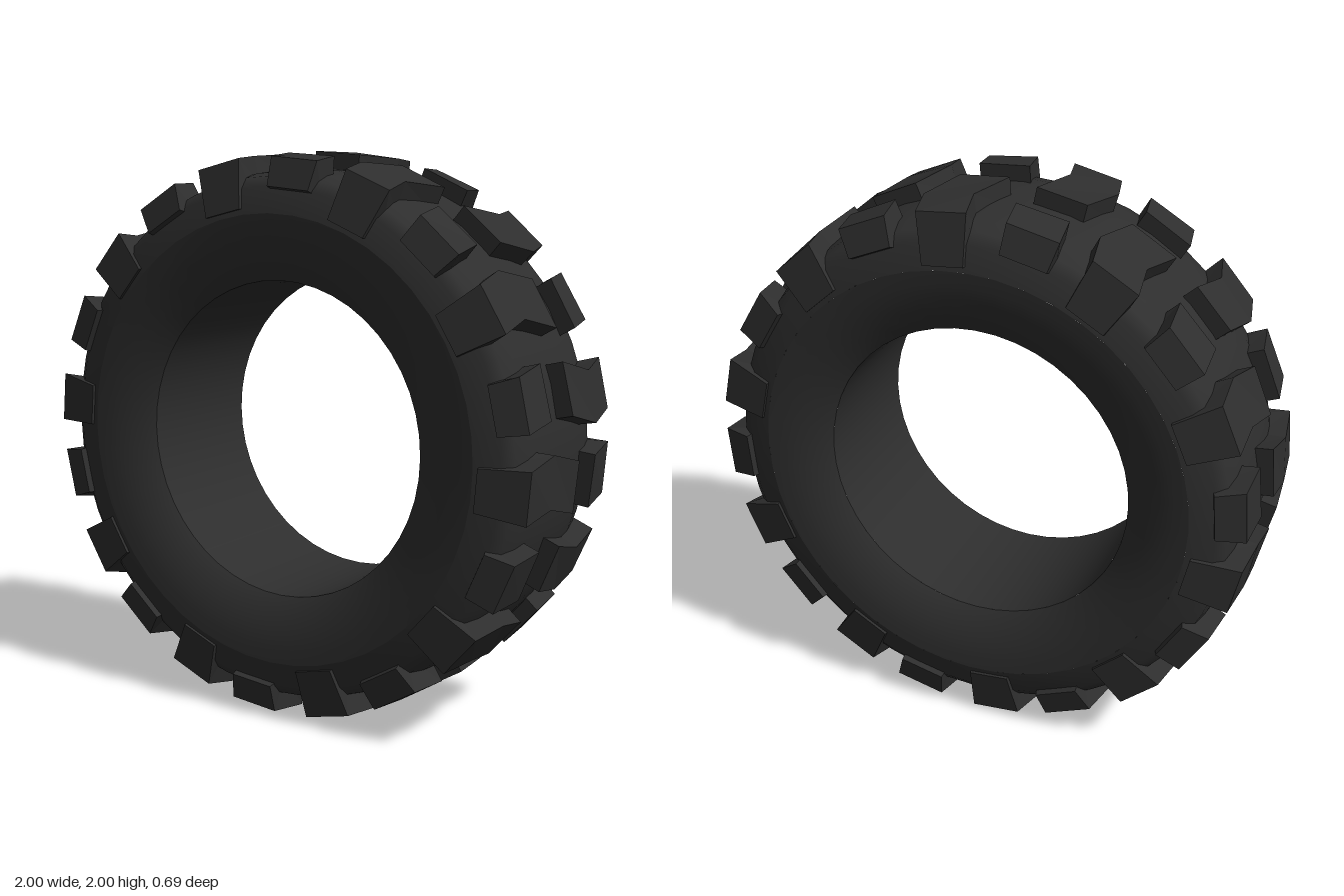
import * as THREE from 'three';

const DEG = Math.PI / 180;
const COUNT = 10; // long and short lugs per side

// Surface of revolution about the z axis; points are [radius, z]
function revolve(points, material, name) {
  const geo = new THREE.LatheGeometry(points.map(([r, z]) => new THREE.Vector2(r, z)), 48);
  geo.rotateX(Math.PI / 2);
  const mesh = new THREE.Mesh(geo, material);
  mesh.name = name;
  return mesh;
}

// Lug swept across the tread through stations:
// [top radius, top z, base radius, base z, centre angle, half angle]
function lugGeometry(stations) {
  const pos = [];
  const index = [];
  const add = (r, a, z) => pos.push(r * Math.cos(a * DEG), r * Math.sin(a * DEG), z);
  for (const [rt, zt, rb, zb, c, h] of stations) {
    add(rt, c - h, zt);
    add(rt, c + h, zt);
    add(rb, c + h + 0.5, zb);
    add(rb, c - h - 0.5, zb);
  }
  const quad = (a, b, c, d) => index.push(a, b, c, a, c, d);
  const last = (stations.length - 1) * 4;
  for (let s = 0; s < last; s += 4) {
    for (let i = 0; i < 4; i++) {
      const j = (i + 1) % 4;
      quad(s + i, s + j, s + 4 + j, s + 4 + i);
    }
  }
  quad(3, 2, 1, 0);
  quad(last, last + 1, last + 2, last + 3);
  const indexed = new THREE.BufferGeometry();
  indexed.setAttribute('position', new THREE.Float32BufferAttribute(pos, 3));
  indexed.setIndex(index);
  const geo = indexed.toNonIndexed();
  geo.computeVertexNormals();
  return geo;
}

export function createModel() {
  const rubber = new THREE.MeshStandardMaterial({ color: 0x2e2e2e });
  rubber.name = 'black rubber';

  const tyre = new THREE.Group();
  tyre.name = 'tyre';
  tyre.position.y = 1;

  // Carcass under the lugs, and the straight bore
  const half = [[0.94, 0.1], [0.93, 0.22], [0.915, 0.285], [0.88, 0.315], [0.79, 0.335]];
  const mirrored = half.map(([r, z]) => [r, -z]).reverse();
  tyre.add(revolve([...mirrored, ...half], rubber, 'carcass'));
  tyre.add(revolve([[0.56, 0.265], [0.56, -0.265]], rubber, 'bore'));

  // Long chevron lug wraps over the shoulder; short lug sits on the shoulder
  const longLug = lugGeometry([
    [1.0, -0.02, 0.9, -0.02, -5.7, 5.2],
    [0.997, 0.17, 0.9, 0.17, -2.9, 5.2],
    [0.983, 0.31, 0.87, 0.27, -4.8, 5.2],
    [0.81, 0.343, 0.81, 0.3, -4.8, 5.2],
  ]);
  const shortLug = lugGeometry([
    [0.993, 0.17, 0.9, 0.17, 14, 5.4],
    [0.98, 0.31, 0.86, 0.26, 12.6, 5.4],
    [0.88, 0.338, 0.86, 0.28, 12.6, 5.4],
  ]);

  // One side: rounded sidewall and its ring of lugs
  function makeSide(name) {
    const side = new THREE.Group();
    side.name = name;
    side.add(revolve(
      [[0.79, 0.335], [0.74, 0.332], [0.69, 0.324], [0.64, 0.309], [0.59, 0.287], [0.56, 0.265]],
      rubber, 'sidewall'));
    for (let i = 0; i < COUNT; i++) {
      for (const [geo, label] of [[longLug, 'longLug'], [shortLug, 'shortLug']]) {
        const lug = new THREE.Mesh(geo, rubber);
        lug.name = label;
        lug.rotation.z = (i * 2 * Math.PI) / COUNT;
        side.add(lug);
      }
    }
    return side;
  }

  // The back is the front turned over, with its lugs staggered
  const back = makeSide('backSide');
  back.rotation.set(Math.PI, 0, -7.8 * DEG);
  tyre.add(makeSide('frontSide'), back);

  const model = new THREE.Group();
  model.name = 'offRoadTyre';
  model.add(tyre);
  return model;
}
